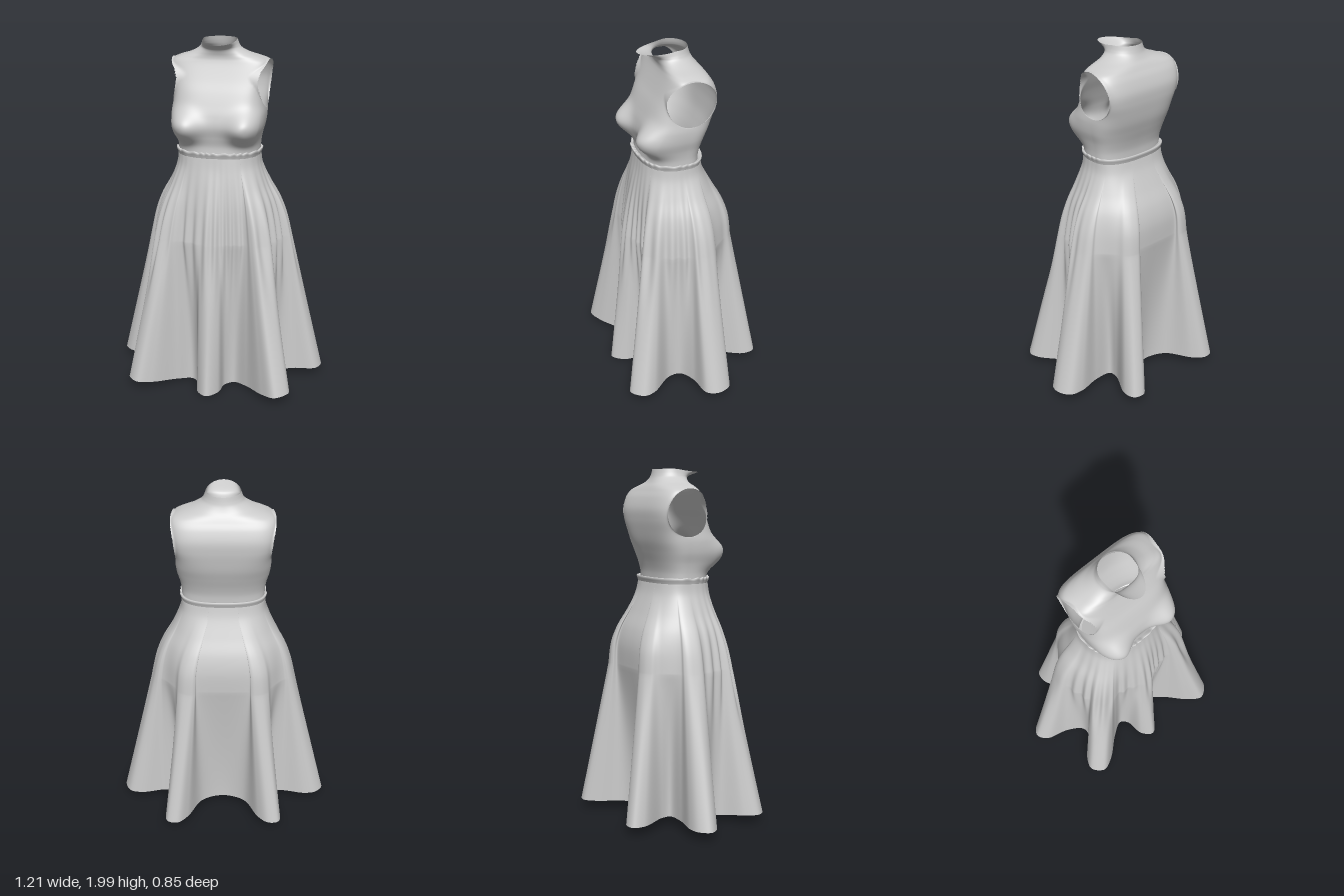
import * as THREE from 'three';

const { smoothstep, lerp } = THREE.MathUtils;

// Catmull-Rom blend through a table of rows, u in 0..1
function sampleRows(rows, u) {
  const p = u * (rows.length - 1), i = Math.min(Math.floor(p), rows.length - 2), t = p - i;
  const at = (k) => rows[Math.max(0, Math.min(rows.length - 1, k))];
  return rows[0].map((_, c) => {
    const a = at(i - 1)[c], b = at(i)[c], d = at(i + 1)[c], e = at(i + 2)[c];
    return b + 0.5 * t * (d - a + t * (2 * a - 5 * b + 4 * d - e + t * (3 * (b - d) + e - a)));
  });
}

// Point at a true angle on a rounded outline with its own front and back depth
function outline(angle, halfWidth, front, back, n) {
  const c = Math.cos(angle), s = Math.sin(angle), depth = s > 0 ? front : back;
  const r = Math.pow(Math.pow(Math.abs(c / halfWidth), n) + Math.pow(Math.abs(s / depth), n), -1 / n);
  return [r * c, r * s];
}

// Closed loft: point(u, v) gives [x, y, z]; u runs around, v runs upward
function loft(around, rows, point, keep = () => true) {
  const pos = [], index = [];
  for (let j = 0; j <= rows; j++)
    for (let i = 0; i < around; i++) pos.push(...point(i / around, j / rows));
  for (let j = 0; j < rows; j++)
    for (let i = 0; i < around; i++) {
      const k = (i + 1) % around;
      const a = j * around + i, b = j * around + k, c = a + around, d = b + around;
      for (const tri of [[a, c, b], [b, c, d]]) if (keep(tri, pos)) index.push(...tri);
    }
  const g = new THREE.BufferGeometry();
  g.setAttribute('position', new THREE.Float32BufferAttribute(pos, 3));
  g.setIndex(index);
  g.computeVertexNormals();
  return g;
}

// Bodice rows: y, half width, front depth, back depth, squareness
const BODICE = [
  [1.385, 0.23, 0.186, 0.112, 2.6],
  [1.43, 0.232, 0.184, 0.115, 2.6],
  [1.48, 0.24, 0.195, 0.127, 2.7],
  [1.54, 0.256, 0.208, 0.147, 2.8],
  [1.6, 0.262, 0.198, 0.166, 3.2],
  [1.66, 0.258, 0.177, 0.178, 3.8],
  [1.72, 0.257, 0.153, 0.186, 4.4],
  [1.78, 0.263, 0.125, 0.186, 4.6],
  [1.84, 0.272, 0.1, 0.168, 4.3],
  [1.88, 0.268, 0.085, 0.146, 3.7],
  [1.903, 0.23, 0.08, 0.132, 3],
  [1.925, 0.168, 0.083, 0.116, 2.4],
  [1.95, 0.122, 0.095, 0.103, 2.1],
  [1.972, 0.105, 0.125, 0.096, 2],
  [2.0, 0.095, 0.19, 0.09, 2],
];
const ARM = { y: 1.76, z: -0.018, ry: 0.132, rz: 0.135 };

function armRadius(x, y, z) {
  return Math.abs(x) < 0.12 ? 9 : Math.hypot((y - ARM.y) / ARM.ry, (z - ARM.z) / ARM.rz);
}

function bodiceGeometry() {
  return loft(224, 130, (u, v) => {
    const th = u * Math.PI * 2;
    let [y, w, f, b, n] = sampleRows(BODICE, v);
    let [x, z] = outline(th, w, f, b, n);
    // shoulders are broader at the back than at the chest
    x *= 1 - 0.55 * z * smoothstep(y, 1.6, 1.75) * (1 - smoothstep(y, 1.88, 1.94));
    // bust
    if (z > 0) {
      const d = ((Math.abs(x) - 0.172) / 0.09) ** 2 + ((y - 1.53) / 0.085) ** 2;
      const bump = Math.exp(-Math.pow(d, 1.3)) * Math.min(1, z / 0.12);
      z += 0.072 * bump;
      x += 0.012 * bump * Math.sign(x);
    }
    // collar is a little lower at its front tip
    if (y > 1.95) y -= 0.015 * Math.max(0, Math.sin(th)) * (y - 1.95) / 0.05;
    // snap to a clean armhole edge
    const r = armRadius(x, y, z);
    if (r < 1 && r > 0.85) {
      y = ARM.y + (y - ARM.y) / r;
      z = ARM.z + (z - ARM.z) / r;
    }
    return [x, y, z];
  }, (tri, pos) => tri.every((k) => armRadius(pos[k * 3], pos[k * 3 + 1], pos[k * 3 + 2]) > 0.99));
}

// Hem outline (x, z), running from the left side round the front to the back
const HEM = [
  [0.605, -0.05], [0.575, 0.015], [0.44, 0.04], [0.35, 0.09], [0.35, 0.16],
  [0.45, 0.29], [0.46, 0.36], [0.39, 0.42], [0.31, 0.37], [0.2, 0.25], [0.12, 0.195], [0.07, 0.23],
  [0.05, 0.33], [-0.01, 0.39], [-0.07, 0.34], [-0.09, 0.23], [-0.13, 0.195], [-0.21, 0.24],
  [-0.34, 0.35], [-0.42, 0.38], [-0.48, 0.32], [-0.45, 0.24], [-0.35, 0.14], [-0.35, 0.08],
  [-0.44, 0.02], [-0.57, -0.02], [-0.61, -0.08], [-0.57, -0.135], [-0.5, -0.15], [-0.36, -0.125],
  [-0.26, -0.135], [-0.26, -0.19], [-0.34, -0.34], [-0.33, -0.41], [-0.27, -0.42], [-0.21, -0.37],
  [-0.125, -0.22], [0, -0.175], [0.125, -0.22], [0.21, -0.37], [0.27, -0.425], [0.33, -0.41],
  [0.34, -0.34], [0.26, -0.19], [0.26, -0.135], [0.36, -0.125], [0.5, -0.15], [0.575, -0.13],
];
const hemCurve = new THREE.CatmullRomCurve3(HEM.map(([x, z]) => new THREE.Vector3(x, 0, z)), true);

// Upper skirt rows: y, half width, front depth, back depth, share of the hem folds
const HIPS = [
  [0.88, 0.37, 0.267, 0.274, 0.18],
  [1.0, 0.348, 0.252, 0.27, 0.14],
  [1.1, 0.32, 0.24, 0.243, 0.09],
  [1.2, 0.276, 0.226, 0.195, 0.04],
  [1.3, 0.243, 0.21, 0.153, 0],
  [1.37, 0.233, 0.2, 0.135, 0],
];

function skirtGeometry() {
  return loft(600, 72, (u, v) => {
    const h = hemCurve.getPoint(u), th = Math.atan2(h.z, h.x);
    const ring = (row) => {
      const [x, z] = outline(th, row[1], row[2], row[3], 2.5);
      return [x + (h.x - x) * row[4], row[0], z + (h.z - z) * row[4]];
    };
    // hem dips toward the front centre
    const dip = 0.05 * (1 - smoothstep(Math.abs(h.x), 0.05, 0.48));
    const hemY = 0.06 - dip * smoothstep(h.z, -0.1, 0.2);
    const split = 0.5;
    let p;
    if (v < split) {
      const top = ring(HIPS[0]), s = v / split;
      // valleys fall in quickly below the hips, folds flare out straight
      const depth = Math.hypot(top[0], top[2]) - Math.hypot(h.x, h.z);
      const t = Math.pow(s, 1 + 0.6 * smoothstep(depth, 0, 0.06));
      p = [lerp(h.x, top[0], t), lerp(hemY, top[1], s), lerp(h.z, top[2], t)];
    } else p = ring(sampleRows(HIPS, (v - split) / (1 - split)));
    // fine gathers over the front and sides
    const fade = Math.exp(-(((p[1] - 0.9) / 0.26) ** 2)) * smoothstep(Math.sin(th), -0.25, 0.2);
    const k = 1 + 0.024 * fade * Math.sin(th * 34 + 1.5 * Math.sin(th * 5));
    return [p[0] * k, p[1], p[2] * k];
  });
}

// Gathered waist edge: offset from the waist outline and height
const RUFFLE = [[0, 1.365], [0.004, 1.378], [0.008, 1.39], [0.006, 1.399], [-0.004, 1.396], [-0.022, 1.386]];

function ruffleGeometry() {
  return loft(300, 15, (u, v) => {
    const th = u * Math.PI * 2, [o, y] = sampleRows(RUFFLE, v);
    const [x, z] = outline(th, 0.233 + o, 0.2 + o, 0.135 + o, 2.5);
    const amount = Math.sin(v * Math.PI) * smoothstep(Math.sin(th), -0.4, 0.1);
    const wave = amount * Math.sin(th * 30 + 2 * Math.sin(th * 7));
    return [x * (1 + 0.01 * wave), y + 0.004 * wave, z * (1 + 0.01 * wave)];
  });
}

export function createModel() {
  const fabric = new THREE.MeshStandardMaterial({ color: 0xcccccc, side: THREE.DoubleSide });
  fabric.name = 'light grey fabric';
  const group = new THREE.Group();
  group.name = 'dress';
  const parts = { bodice: bodiceGeometry(), skirt: skirtGeometry(), waistRuffle: ruffleGeometry() };
  for (const [name, geometry] of Object.entries(parts)) {
    const mesh = new THREE.Mesh(geometry, fabric);
    mesh.name = name;
    group.add(mesh);
  }
  return group;
}
